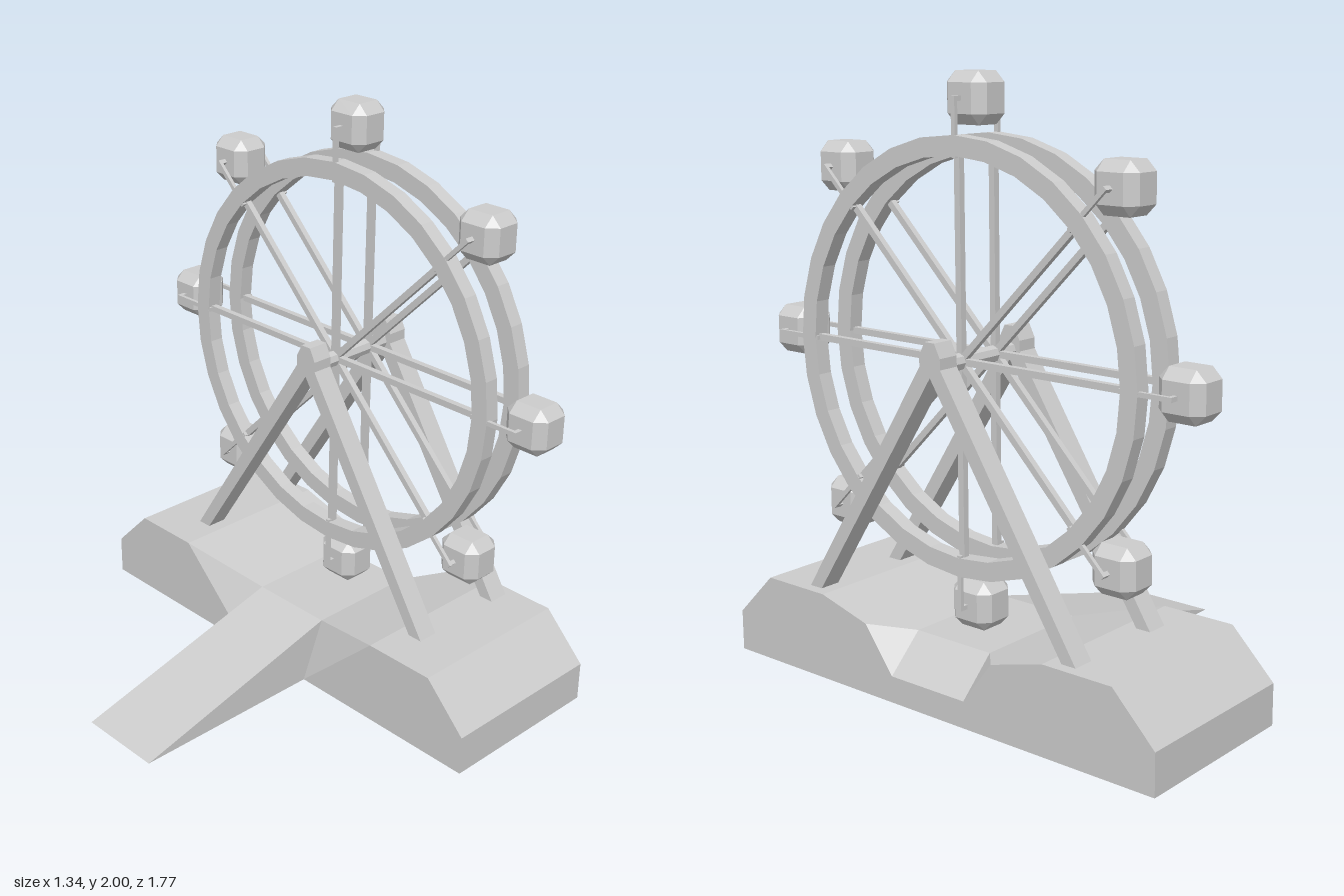
import * as THREE from 'three';
import { ConvexGeometry } from 'three/addons/geometries/ConvexGeometry.js';

const CX = 0.405, CY = 1.115;       // wheel centre
const ARM = 0.805;                  // radius of the cabin pivots
const material = new THREE.MeshStandardMaterial({ color: 0xcccccc, flatShading: true });

function add(parent, name, geometry, x = 0, y = 0, z = 0) {
  const mesh = new THREE.Mesh(geometry, material);
  mesh.name = name;
  mesh.position.set(x, y, z);
  parent.add(mesh);
  return mesh;
}

// Convex or fan-shaped faces given for z > 0, mirrored to z < 0
function mirroredFaces(faces) {
  const out = [];
  for (const face of faces) {
    for (let i = 1; i < face.length - 1; i++) {
      const tri = [face[0], face[i], face[i + 1]];
      for (const p of tri) out.push(...p);
      for (const [x, y, z] of tri.reverse()) out.push(x, y, -z);
    }
  }
  const g = new THREE.BufferGeometry();
  g.setAttribute('position', new THREE.Float32BufferAttribute(out, 3));
  g.computeVertexNormals();
  return g;
}

// Platform with a dipped middle, a recessed side and a notch
function platformGeometry() {
  const L = 0.04, R = 0.665;
  const low = [0.14, 0.885], high = [0.295, 0.73], edge = [0.295, 0.47];
  const inL = [0.125, 0.21, 0.155], inR = [0.54, 0.21, 0.155];
  const lip = [R, 0.09, 0.155], lipTop = [R, 0.241, 0.27];
  const mid = ([x, y]) => [x, y, 0];
  return mirroredFaces([
    [[L, 0, 0.885], [R, 0, 0.885], [R, ...low], [L, ...low]],
    [[L, ...low], [R, ...low], [R, ...high], [L, ...high]],
    [[L, ...high], [R, ...high], [R, ...edge], [L, ...edge]],
    [[L, ...edge], [R, ...edge], lipTop, inR, inL],
    [inL, inR, mid(inR), mid(inL)],
    [inR, lip, mid(lip), mid(inR)],
    [lipTop, lip, inR],
    [[R, 0, 0.885], [R, 0, 0], mid(lip), lip, lipTop, [R, ...edge], [R, ...high], [R, ...low]],
    [[L, 0, 0.155], [L, 0, 0.885], [L, ...low], [L, ...high], [L, ...edge]],
    [[L, 0, 0.155], [L, ...edge], inL],
    [[L, 0, 0.885], [L, 0, 0], [R, 0, 0], [R, 0, 0.885]],
  ]);
}

// Entry ramp rising to the platform floor
function rampGeometry() {
  const tip = [-0.67, 0, 0.155], foot = [0.04, 0, 0.155], top = [0.125, 0.21, 0.155];
  const mid = ([x, y]) => [x, y, 0];
  return mirroredFaces([
    [tip, foot, top],
    [tip, top, mid(top), mid(tip)],
    [tip, mid(tip), mid(foot), foot],
  ]);
}

// A-shaped support, outlined in the z/y plane and extruded along x
function supportGeometry(width) {
  const half = [[0.02, 1.195], [0.043, 1.15], [0.043, 1.115], [0.578, 0.28], [0.525, 0.28]];
  const points = [
    ...half.map(([z, y]) => new THREE.Vector2(z, y)),
    new THREE.Vector2(0, 1.085),
    ...half.slice().reverse().map(([z, y]) => new THREE.Vector2(-z, y)),
  ];
  const g = new THREE.ExtrudeGeometry(new THREE.Shape(points), { depth: width, bevelEnabled: false });
  g.translate(0, 0, -width / 2);
  g.rotateY(Math.PI / 2);
  return g;
}

// Rim with a rectangular section, turned about the x axis
function rimGeometry(inner, outer, width) {
  const h = width / 2;
  const profile = [[inner, -h], [outer, -h], [outer, h], [inner, h], [inner, -h]]
    .map(([r, y]) => new THREE.Vector2(r, y));
  const g = new THREE.LatheGeometry(profile, 32);
  g.rotateZ(Math.PI / 2);
  return g;
}

// Box with all edges and corners chamfered
function cabinGeometry(sx, sy, sz, chamfer) {
  const points = [];
  for (const x of [-1, 1]) for (const y of [-1, 1]) for (const z of [-1, 1]) {
    const a = sx - chamfer, b = sy - chamfer, c = sz - chamfer;
    points.push(
      new THREE.Vector3(x * sx, y * b, z * c),
      new THREE.Vector3(x * a, y * sy, z * c),
      new THREE.Vector3(x * a, y * b, z * sz));
  }
  return new ConvexGeometry(points);
}

export function createModel() {
  const model = new THREE.Group();
  model.name = 'ferrisWheel';

  add(model, 'platform', platformGeometry());
  add(model, 'ramp', rampGeometry());

  const supports = supportGeometry(0.075);
  for (const s of [-1, 1]) add(model, 'support', supports, CX + s * 0.185);

  const axle = new THREE.CylinderGeometry(0.028, 0.028, 0.32, 8);
  axle.rotateZ(Math.PI / 2);
  add(model, 'axle', axle, CX, CY, 0);

  const wheel = new THREE.Group();
  wheel.name = 'wheel';
  wheel.position.set(CX, CY, 0);
  model.add(wheel);

  const rim = rimGeometry(0.635, 0.697, 0.053);
  const spoke = new THREE.BoxGeometry(0.022, 0.645, 0.022);
  spoke.translate(0, 0.3225, 0);
  const hanger = new THREE.BoxGeometry(0.013, 0.185, 0.015);
  hanger.translate(0, ARM - 0.085, 0);
  const pin = new THREE.BoxGeometry(0.045, 0.015, 0.015);
  const cabin = cabinGeometry(0.074, 0.081, 0.081, 0.034);

  for (const s of [-1, 1]) add(wheel, 'rim', rim, s * 0.079);

  // Spokes, hangers and upright cabins around the wheel
  for (let i = 0; i < 8; i++) {
    const a = i * Math.PI / 4;
    const y = ARM * Math.cos(a), z = ARM * Math.sin(a);
    for (const s of [-1, 1]) {
      add(wheel, 'spoke', spoke, s * 0.079).rotation.x = a;
      add(wheel, 'hanger', hanger, s * 0.098).rotation.x = a;
      add(wheel, 'cabinPin', pin, s * 0.082, y, z).rotation.x = a;
    }
    add(wheel, 'cabin', cabin, 0, y, z);
  }
  return model;
}
